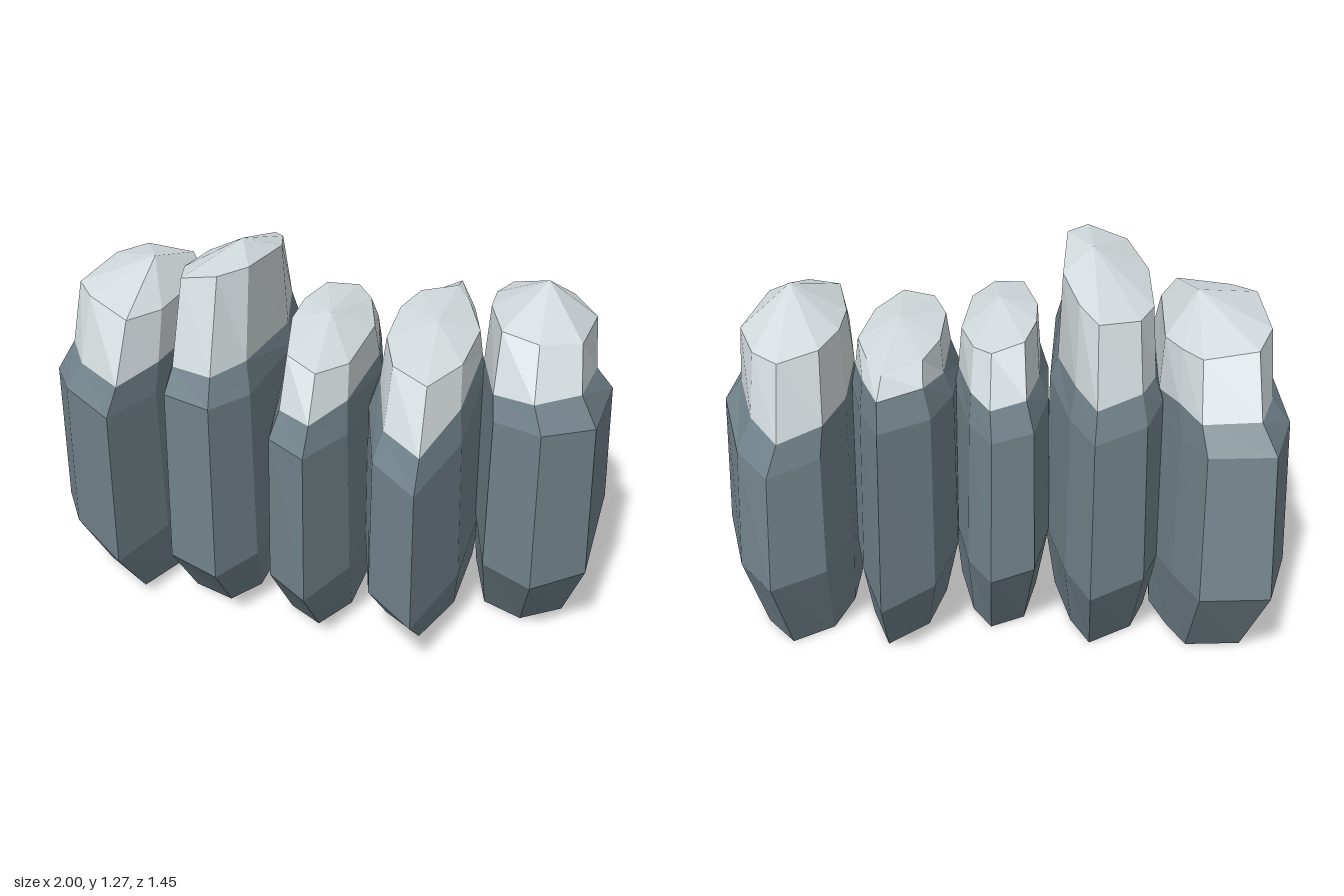
import * as THREE from 'three';

const stone = new THREE.MeshStandardMaterial({ color: 0x72838b, flatShading: true });
stone.name = 'slate stone';
const snow = new THREE.MeshStandardMaterial({ color: 0xd4dcdf, flatShading: true });
snow.name = 'pale cap';

// Plan limits of each rock, where its side corners fall along its length
// (clockwise from the back tip), ring heights, tilts, peak and sideways/forward lean
const rocks = [
  {
    ridge: -0.66, left: -1, right: -0.53, back: -0.69, front: 0.57,
    rightSide: [0.14, 0.3, 0.8], leftSide: [0.82, 0.68, 0.23, 0.01],
    belly: 0.26, shoulder: 0.78, crown: 1.06, tiltX: -0.15, tiltZ: 0, crownTilt: 0,
    peakY: 1.15, peakZ: -0.05, lean: 0.03, push: 0.02,
  },
  {
    ridge: -0.3, left: -0.57, right: -0.16, back: -0.69, front: 0.6,
    rightSide: [0.15, 0.42, 0.87], leftSide: [0.92, 0.63, 0.27, 0.11],
    belly: 0.26, shoulder: 0.84, crown: 1.19, tiltX: 0.2, tiltZ: 0.03, crownTilt: 0.11,
    peakY: 1.27, peakZ: 0.05, lean: 0, push: 0.04,
  },
  {
    ridge: 0.03, left: -0.18, right: 0.18, back: -0.6, front: 0.69,
    rightSide: [0.12, 0.4, 0.83], leftSide: [0.9, 0.54, 0.31, 0.07],
    belly: 0.27, shoulder: 0.77, crown: 1, tiltX: -0.2, tiltZ: -0.02, crownTilt: -0.04,
    peakY: 1.05, peakZ: 0.13, lean: 0.01, push: 0.06,
  },
  {
    ridge: 0.39, left: 0.15, right: 0.55, back: -0.73, front: 0.72,
    rightSide: [0.19, 0.43, 0.77], leftSide: [0.88, 0.64, 0.33, 0.12],
    belly: 0.23, shoulder: 0.78, crown: 0.97, tiltX: -0.1, tiltZ: -0.15, crownTilt: -0.04,
    peakY: 1.01, peakZ: 0.04, lean: 0.01, push: 0.03,
  },
  {
    ridge: 0.76, left: 0.52, right: 1, back: -0.68, front: 0.5,
    rightSide: [0.15, 0.45, 0.89], leftSide: [0.9, 0.55, 0.32, 0.11],
    belly: 0.28, shoulder: 0.76, crown: 1.04, tiltX: -0.1, tiltZ: 0.12, crownTilt: 0.04,
    peakY: 1.16, peakZ: -0.03, lean: -0.03, push: 0.03,
  },
];

// Share of the side's width reached by each corner
const rightWidths = [0.55, 1, 0.75];
const leftWidths = [0.7, 1, 0.97, 0.7];

function makeRock(r) {
  // Leaf-shaped plan, clockwise from the back tip
  const along = (t) => r.back + t * (r.front - r.back);
  const corners = (side, widths, limit) =>
    side.map((t, i) => [r.ridge + widths[i] * (limit - r.ridge), along(t)]);
  const outline = [
    [r.ridge, r.back],
    ...corners(r.rightSide, rightWidths, r.right),
    [r.ridge, r.front],
    ...corners(r.leftSide, leftWidths, r.left),
  ];
  const n = outline.length;
  const cx = (r.left + r.right) / 2, cz = (r.back + r.front) / 2;

  // Scaled and shifted copy of the plan, lifted onto a tilted plane
  const ring = (y, sx, sz, shiftX, shiftZ, tiltX, tiltZ, wobble = 0) =>
    outline.map(([x, z], i) => {
      const dx = (x - cx) * sx, pz = cz + (z - cz) * sz + shiftZ;
      return [cx + dx + shiftX, y + tiltX * dx + tiltZ * pz + wobble * Math.sin(i * 2.4), pz];
    });

  const base = ring(0, 0.8, 0.7, r.lean, -0.025, 0, 0);
  const belly = ring(r.belly, 1, 1, 0, 0, 0, -0.05);
  const shoulder = ring(r.shoulder, 0.95, 0.92, 0, 0.04, 0, r.tiltZ);
  const edge = ring(r.shoulder + 0.09, 0.82, 0.82, r.lean, 0.04, 0, r.tiltZ, 0.015);
  const crown = ring(r.crown, 0.76, 0.61, r.lean, r.push, r.tiltX, r.crownTilt);
  const peak = [r.ridge - 0.02, r.peakY, r.peakZ];

  const pos = [];
  const tri = (...pts) => pts.forEach((p) => pos.push(...p));
  const band = (a, b) => {
    for (let i = 0; i < n; i++) {
      const j = (i + 1) % n;
      tri(a[i], b[i], b[j]);
      tri(a[i], b[j], a[j]);
    }
  };

  // Stone body with flat underside
  for (let i = 0; i < n; i++) tri(base[i], base[(i + 1) % n], [cx + r.lean, 0, cz]);
  band(base, belly);
  band(belly, shoulder);
  band(shoulder, edge);
  const split = pos.length / 3;

  // Pale cap rising to the peak
  band(edge, crown);
  for (let i = 0; i < n; i++) tri(crown[i], peak, crown[(i + 1) % n]);

  const geo = new THREE.BufferGeometry();
  geo.setAttribute('position', new THREE.Float32BufferAttribute(pos, 3));
  geo.addGroup(0, split, 0);
  geo.addGroup(split, pos.length / 3 - split, 1);
  geo.computeVertexNormals();
  return new THREE.Mesh(geo, [stone, snow]);
}

export function createModel() {
  const group = new THREE.Group();
  group.name = 'rockRow';
  rocks.forEach((spec, i) => {
    const rock = makeRock(spec);
    rock.name = `rock${i + 1}`;
    group.add(rock);
  });
  return group;
}
